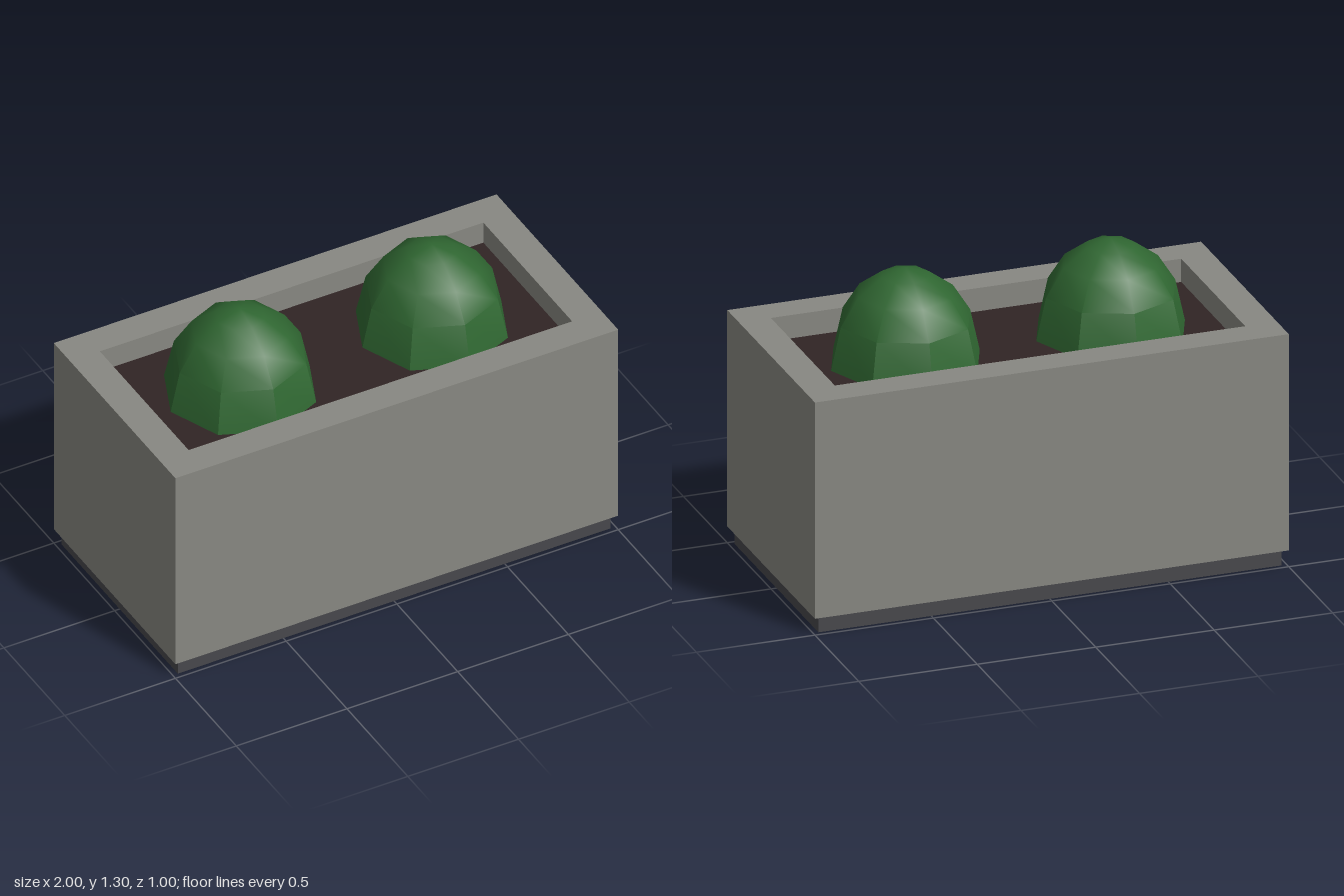
import * as THREE from 'three';
import { toCreasedNormals } from 'three/addons/utils/BufferGeometryUtils.js';

function material(name, color) {
  const m = new THREE.MeshStandardMaterial({ color });
  m.name = name;
  return m;
}

// Corners of a rectangle centred on the origin
function rectangle(w, d) {
  return [[-w, -d], [w, -d], [w, d], [-w, d]].map(([x, y]) => new THREE.Vector2(x / 2, y / 2));
}

export function createModel() {
  const stone = material('stone', 0x888882);
  const plinthGrey = material('plinth grey', 0x48484c);
  const earth = material('earth', 0x302424);
  const leaf = material('leaf green', 0x2f6631);

  const group = new THREE.Group();
  group.name = 'planter';

  function add(name, geometry, mat, x, y, z) {
    const mesh = new THREE.Mesh(geometry, mat);
    mesh.name = name;
    mesh.position.set(x, y, z);
    group.add(mesh);
  }

  // Recessed plinth under the box
  add('plinth', new THREE.BoxGeometry(1.954, 0.07, 0.956), plinthGrey, 0, 0.035, 0);

  // Stone walls: a rectangular frame raised to full height
  const frame = new THREE.Shape(rectangle(2, 1));
  frame.holes.push(new THREE.Path(rectangle(1.732, 0.73).reverse()));
  const walls = new THREE.ExtrudeGeometry(frame, { depth: 0.93, bevelEnabled: false });
  walls.rotateX(-Math.PI / 2);
  add('walls', walls, stone, 0, 0.07, 0);

  // Soil filling, set a little below the rim
  add('soil', new THREE.BoxGeometry(1.732, 0.83, 0.73), earth, 0, 0.485, 0);

  // Eight-sided domed shrubs, creased only near the foot
  const profile = [[0.316, 0.89], [0.273, 1.08], [0.2, 1.195], [0.1, 1.268], [0, 1.3]]
    .map(([r, y]) => new THREE.Vector2(r, y));
  const dome = toCreasedNormals(new THREE.LatheGeometry(profile, 8), THREE.MathUtils.degToRad(40));
  for (const side of [-1, 1]) {
    add(side < 0 ? 'rightShrub' : 'leftShrub', dome, leaf, side * 0.433, 0, 0);
  }

  return group;
}
